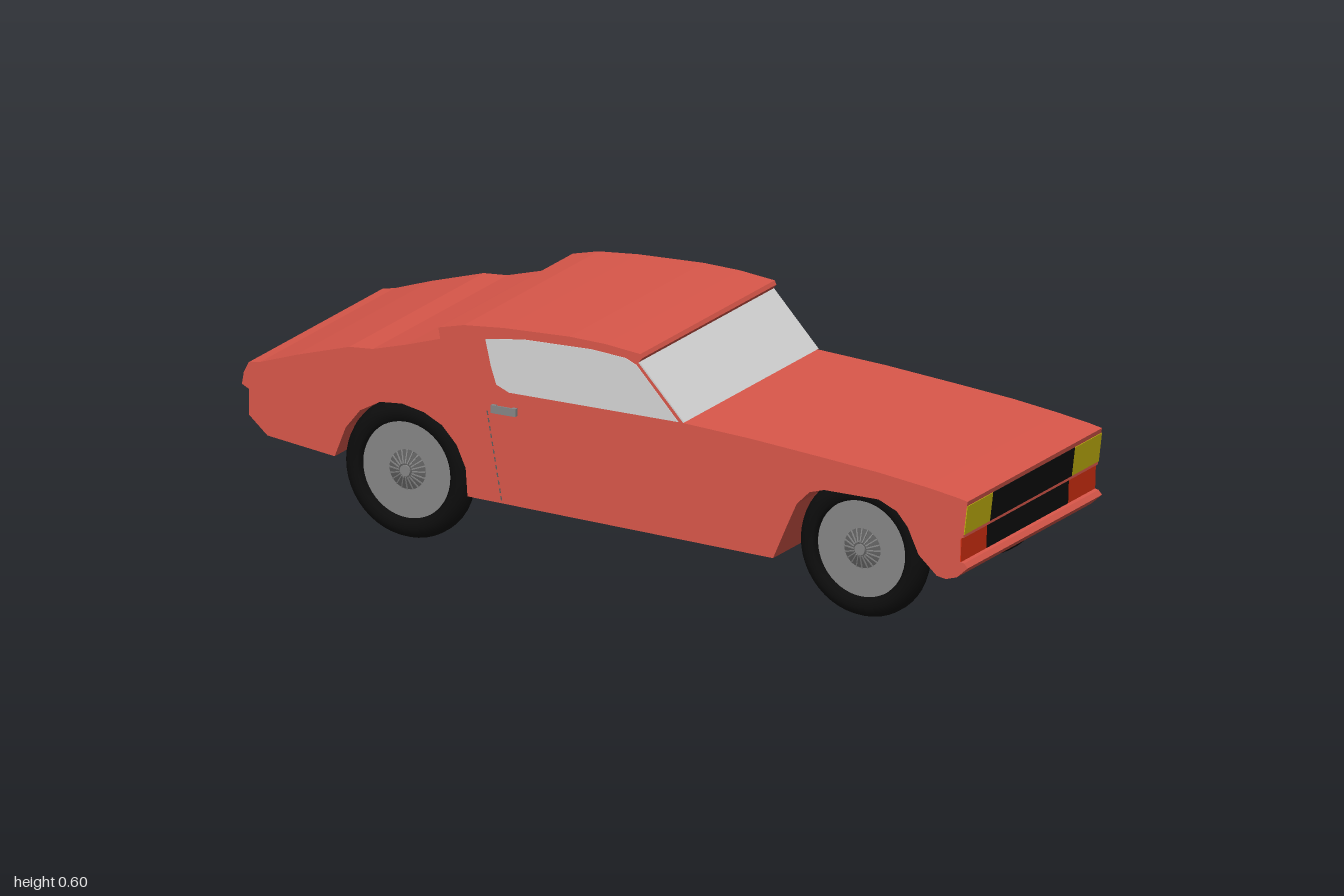
import * as THREE from 'three';

const mat = (name, color, extra = {}) => {
  const m = new THREE.MeshStandardMaterial({ color, ...extra });
  m.name = name;
  return m;
};

// Side walls of the extruded body; wheels share the same centre line
const Z_LEFT = 0.325, Z_RIGHT = -0.332, Z_MID = (Z_LEFT + Z_RIGHT) / 2;
const WIDTH = Z_LEFT - Z_RIGHT;

export function createModel() {
  const car = new THREE.Group();
  car.name = 'car';
  const paint = mat('red paint', 0xd9574a);
  const glass = mat('pale glass', 0xd6d6d6);
  const rubber = mat('black rubber', 0x0d0d0d);
  const metal = mat('grey metal', 0x868686);
  const hubMetal = mat('dark hub metal', 0x606060);
  const yellow = mat('yellow lamp', 0xcab810);
  const red = mat('red lamp', 0xd83012);

  const add = (name, geo, material, parent = car) => {
    const m = new THREE.Mesh(geo, material);
    m.name = name;
    parent.add(m);
    return m;
  };
  const shapeOf = pts => new THREE.Shape(pts.map(p => new THREE.Vector2(...p)));
  const extrude = (pts, z0, depth) =>
    new THREE.ExtrudeGeometry(shapeOf(pts), { depth, bevelEnabled: false }).translate(0, 0, z0);

  // Body: one side profile, including both wheel arches, extruded across the car
  const upper = [
    [-0.98, 0.26], [-0.98, 0.325], [-1, 0.335], [-0.995, 0.365], [-0.982, 0.392], [-0.95, 0.398],
    [-0.85, 0.432], [-0.705, 0.475], [-0.64, 0.48], [-0.55, 0.505], [-0.455, 0.535], [-0.46, 0.563],
    [-0.39, 0.58], [-0.28, 0.59], [-0.1, 0.597], [0.0, 0.594], [0.095, 0.584], [0.1, 0.574], [0.09, 0.561],
    [0.213, 0.429], [0.4, 0.419], [0.6, 0.403], [0.75, 0.39], [0.88, 0.374], [0.96, 0.362], [0.995, 0.355],
  ];
  const nose = [
    [0.993, 0.343], [0.984, 0.27], [0.984, 0.262], [0.976, 0.26], [0.974, 0.2], [0.985, 0.198],
    [0.995, 0.187], [0.965, 0.16], [0.935, 0.151], [0.91, 0.155],
  ];
  const lower = [
    [0.86, 0.2], [0.83, 0.265], [0.8, 0.3], [0.75, 0.322], [0.6, 0.322], [0.56, 0.31], [0.525, 0.275],
    [0.5, 0.22], [0.46, 0.128], [-0.38, 0.15], [-0.385, 0.22], [-0.41, 0.275], [-0.45, 0.318],
    [-0.5, 0.343], [-0.56, 0.355], [-0.62, 0.35], [-0.675, 0.32], [-0.715, 0.27], [-0.745, 0.193], [-0.93, 0.216],
  ];
  add('body', extrude([...upper, ...nose, ...lower], Z_RIGHT, WIDTH), paint);

  // Windscreen plate and side windows
  const screen = [[0.09, 0.561], [0.213, 0.429], [0.216, 0.431], [0.093, 0.564]];
  add('windscreen', extrude(screen, Z_RIGHT, WIDTH), glass);
  const pane = [
    [-0.33, 0.555], [-0.225, 0.57], [-0.04, 0.575], [0.055, 0.568], [0.085, 0.555],
    [0.2, 0.43], [-0.265, 0.43], [-0.3, 0.445], [-0.315, 0.49],
  ];
  add('leftWindow', extrude(pane, Z_LEFT, 0.002), glass);
  add('rightWindow', extrude(pane, Z_RIGHT - 0.002, 0.002), glass);

  // Grille and lamp plates follow the slope of the nose
  const nosePlate = (name, xTop, yTop, xLow, yLow, z0, z1, material) =>
    add(name, extrude([[xTop - 0.002, yTop], [xLow - 0.002, yLow], [xLow + 0.002, yLow], [xTop + 0.002, yTop]],
      z0, z1 - z0), material);
  const rows = [['upper', 0.993, 0.343, 0.984, 0.27, yellow], ['lower', 0.976, 0.26, 0.974, 0.2, red]];
  for (const [row, xt, yt, xl, yl, lamp] of rows) {
    nosePlate(row + 'Grille', xt, yt, xl, yl, -0.2, 0.2, rubber);
    nosePlate(row + 'LeftLamp', xt, yt, xl, yl, 0.2, Z_LEFT, lamp);
    nosePlate(row + 'RightLamp', xt, yt, xl, yl, Z_RIGHT, -0.2, lamp);
  }

  // Door handles and dashed door seams
  const grip = new THREE.BoxGeometry(0.068, 0.02, 0.004);
  const post = new THREE.BoxGeometry(0.012, 0.02, 0.008);
  add('leftHandle', grip, metal).position.set(-0.277, 0.384, Z_LEFT + 0.008);
  for (const x of [-0.305, -0.249]) add('handlePost', post, metal).position.set(x, 0.384, Z_LEFT + 0.004);
  add('rightHandle', grip, metal).position.set(-0.277, 0.384, Z_RIGHT);
  const dash = new THREE.BoxGeometry(0.003, 0.011, 0.002);
  for (const z of [Z_LEFT, Z_RIGHT]) {
    for (let i = 0; i < 12; i++) {
      const t = i / 11;
      const d = add('doorSeam', dash, hubMetal);
      d.position.set(-0.325 + 0.038 * t, 0.37 - 0.21 * t, z);
      d.rotation.z = 0.18;
    }
  }

  // Wheels: rounded tyre, recessed disc and a fluted hub on both faces
  const tyrePts = [
    [0.122, -0.026], [0.13, -0.033], [0.145, -0.035], [0.158, -0.031], [0.168, -0.02], [0.174, -0.006],
    [0.174, 0.006], [0.168, 0.02], [0.158, 0.031], [0.145, 0.035], [0.13, 0.033], [0.122, 0.026], [0.122, -0.026],
  ].map(p => new THREE.Vector2(...p));
  const tyre = new THREE.LatheGeometry(tyrePts, 48).rotateX(Math.PI / 2);
  const disc = new THREE.CylinderGeometry(0.123, 0.123, 0.036, 48).rotateX(Math.PI / 2);
  const hub = new THREE.CylinderGeometry(0.018, 0.05, 0.01, 32).rotateX(Math.PI / 2).translate(0, 0, 0.023);
  const flute = new THREE.BoxGeometry(0.034, 0.003, 0.003);
  const cap = new THREE.CylinderGeometry(0.014, 0.014, 0.012, 16).rotateX(Math.PI / 2).translate(0, 0, 0.026);
  const axle = new THREE.CylinderGeometry(0.013, 0.013, 0.55, 16).rotateX(Math.PI / 2);

  for (const [end, x] of [['rear', -0.572], ['front', 0.678]]) {
    add(end + 'Axle', axle, metal).position.set(x, 0.174, -0.017);
    for (const [side, z, turn] of [['Left', 0.258, 0], ['Right', -0.292, Math.PI]]) {
      const wheel = new THREE.Group();
      wheel.name = end + side + 'Wheel';
      wheel.position.set(x, 0.174, z);
      wheel.rotation.y = turn;
      add('tyre', tyre, rubber, wheel);
      add('wheelDisc', disc, metal, wheel);
      for (const face of [0, Math.PI]) {
        const g = new THREE.Group();
        g.name = 'hub';
        g.rotation.y = face;
        add('hubCone', hub, hubMetal, g);
        add('hubCap', cap, metal, g);
        for (let i = 0; i < 20; i++) {
          const a = (i / 20) * Math.PI * 2;
          const f = add('hubFlute', flute, metal, g);
          f.position.set(0.034 * Math.cos(a), 0.034 * Math.sin(a), 0.0235);
          f.rotation.set(0, 0.3, a, 'ZYX');
        }
        wheel.add(g);
      }
      car.add(wheel);
    }
  }
  return car;
}
